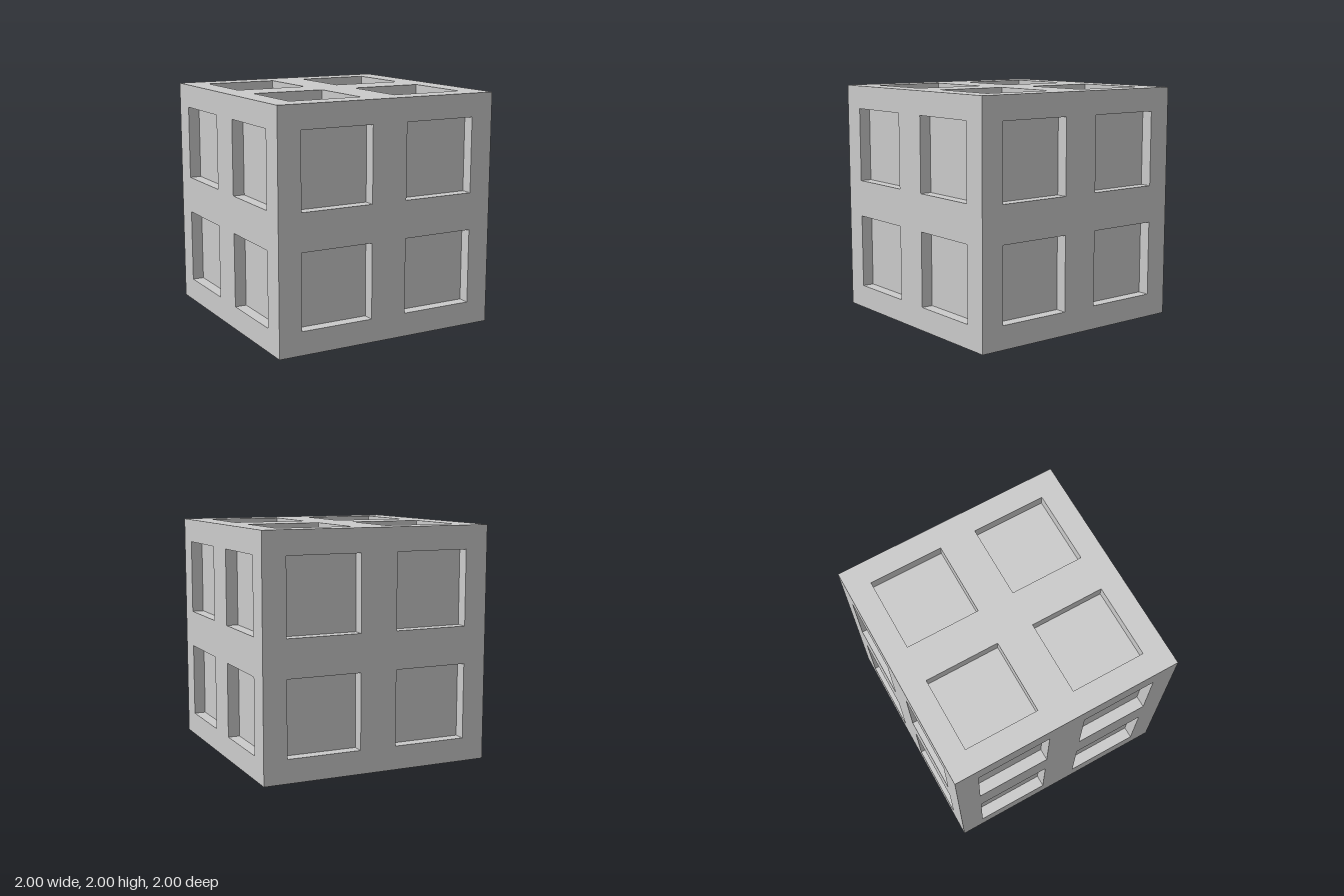
import * as THREE from 'three';
import { mergeGeometries } from 'three/addons/utils/BufferGeometryUtils.js';

const HALF = 1;        // half the cube's edge
const CENTRE = 0.48;   // offset of each recess from the face centre
const SIZE = 0.64;     // recess width
const DEPTH = 0.1;     // recess depth

// Flat face with four square openings
function gridGeometry() {
  const square = (x, y, h) => [[-h, -h], [h, -h], [h, h], [-h, h]].map(([a, b]) => new THREE.Vector2(x + a, y + b));
  const shape = new THREE.Shape(square(0, 0, HALF));
  for (const x of [-CENTRE, CENTRE])
    for (const y of [-CENTRE, CENTRE])
      shape.holes.push(new THREE.Path(square(x, y, SIZE / 2).reverse()));
  return new THREE.ShapeGeometry(shape);
}

// Floor and four inward-facing walls, opening at z = 0
function recessGeometry() {
  const parts = [new THREE.PlaneGeometry(SIZE, SIZE).translate(0, 0, -DEPTH)];
  for (let i = 0; i < 4; i++)
    parts.push(new THREE.PlaneGeometry(SIZE, DEPTH)
      .rotateX(-Math.PI / 2)
      .translate(0, -SIZE / 2, -DEPTH / 2)
      .rotateZ(i * Math.PI / 2));
  return mergeGeometries(parts);
}

export function createModel() {
  const model = new THREE.Group();
  model.name = 'recessedCube';
  const material = new THREE.MeshStandardMaterial({ color: 0xcccccc });
  const grid = gridGeometry();
  const recess = recessGeometry();

  // Six identical sides: name, x rotation, y rotation in quarter turns
  const sides = [
    ['front', 0, 0], ['left', 0, 1], ['back', 0, 2],
    ['right', 0, 3], ['top', -1, 0], ['bottom', 1, 0],
  ];
  for (const [name, rx, ry] of sides) {
    const side = new THREE.Group();
    side.name = name + 'Side';
    side.position.y = HALF;
    side.rotation.set(rx * Math.PI / 2, ry * Math.PI / 2, 0);

    const face = new THREE.Mesh(grid, material);
    face.name = name + 'Grid';
    face.position.z = HALF;
    side.add(face);

    for (const x of [-CENTRE, CENTRE])
      for (const y of [-CENTRE, CENTRE]) {
        const pocket = new THREE.Mesh(recess, material);
        pocket.name = name + 'Recess';
        pocket.position.set(x, y, HALF);
        side.add(pocket);
      }
    model.add(side);
  }
  return model;
}
